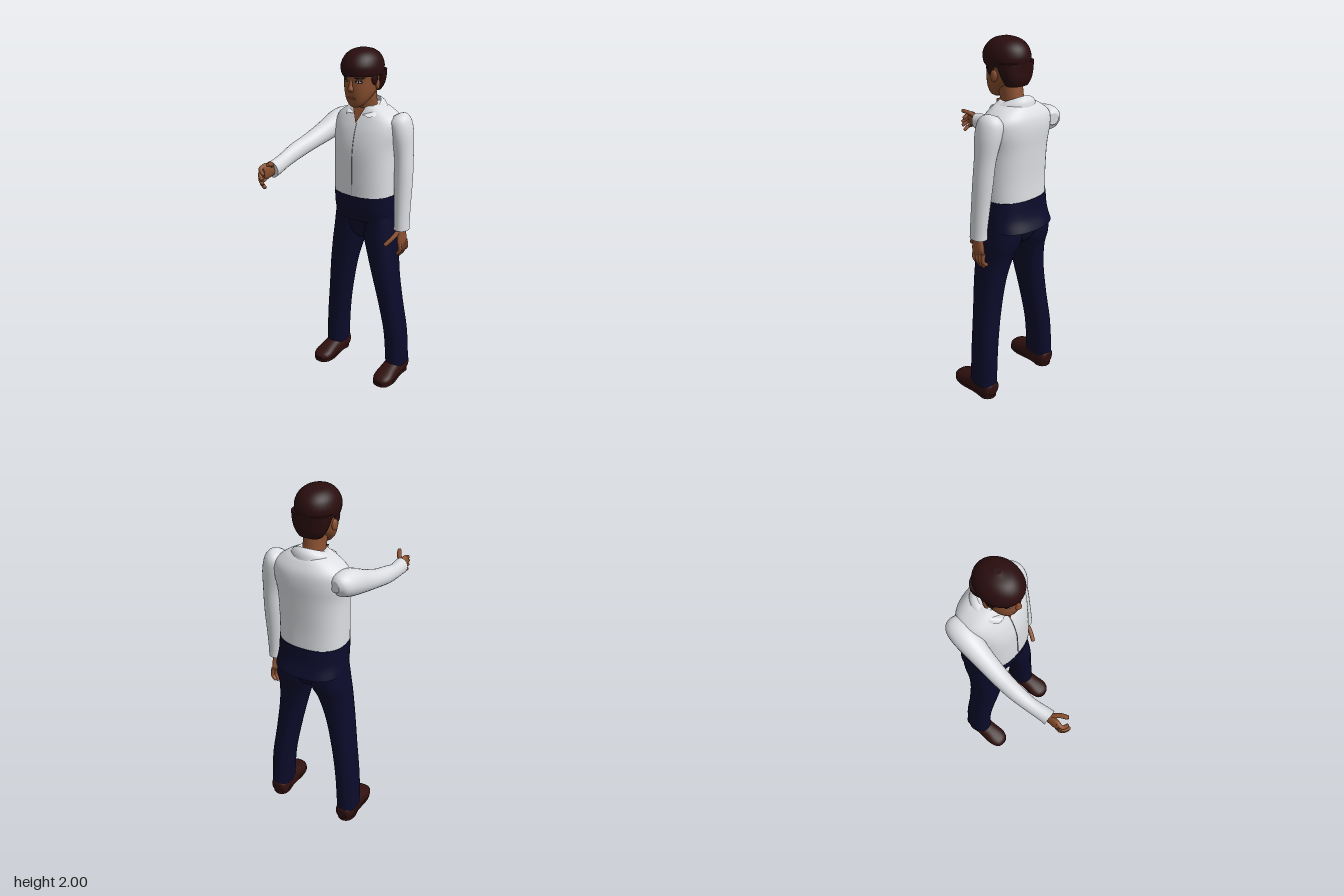
import * as THREE from 'three';

const paint = (name, color, side = THREE.FrontSide) => {
  const m = new THREE.MeshStandardMaterial({ color, side });
  m.name = name;
  return m;
};

export function createModel() {
  const model = new THREE.Group();
  model.name = 'standingMan';
  const shirt = paint('white shirt', 0xdcdee2, THREE.DoubleSide);
  const navy = paint('navy cloth', 0x0b0b2b);
  const skin = paint('brown skin', 0x8a5030, THREE.DoubleSide);
  const hair = paint('dark hair', 0x2a0d0e);
  const leather = paint('shoe leather', 0x30110f);
  const lip = paint('lips', 0x6e3526);
  const eyeWhite = paint('eye white', 0xd0c8c0);
  const black = paint('black', 0x0c0808);
  const seam = paint('seam grey', 0x80838a);

  const add = (name, geo, mat, parent = model) => {
    const mesh = new THREE.Mesh(geo, mat);
    mesh.name = name;
    parent.add(mesh);
    return mesh;
  };

  // Smooth loft through rows of [x, y, z, halfWidth, halfDepth].
  // flat keeps every ring level; n is the squareness of the rings.
  function sweep(rows, { flat = false, n = 2, ref = [1, 0, 0], sides = 28, steps = 5 } = {}) {
    const path = new THREE.CatmullRomCurve3(rows.map(r => new THREE.Vector3(r[0], r[1], r[2])), false, 'catmullrom');
    const size = new THREE.CatmullRomCurve3(rows.map(r => new THREE.Vector3(r[3], r[4], 0)), false, 'catmullrom');
    const rings = (rows.length - 1) * steps;
    const up = Math.sign(rows[rows.length - 1][1] - rows[0][1]);
    const pow = v => Math.sign(v) * Math.abs(v) ** (2 / n);
    const pos = [], idx = [];
    for (let i = 0; i <= rings; i++) {
      const p = path.getPoint(i / rings), s = size.getPoint(i / rings);
      const t = flat ? new THREE.Vector3(0, up, 0) : path.getTangent(i / rings);
      const u = new THREE.Vector3(...ref).addScaledVector(t, -t.dot(new THREE.Vector3(...ref))).normalize();
      const v = t.clone().cross(u);
      for (let j = 0; j < sides; j++) {
        const a = j / sides * Math.PI * 2;
        const q = p.clone().addScaledVector(u, pow(Math.cos(a)) * s.x).addScaledVector(v, pow(Math.sin(a)) * s.y);
        pos.push(q.x, q.y, q.z);
      }
    }
    const at = (i, j) => i * sides + j % sides;
    for (let i = 0; i < rings; i++) for (let j = 0; j < sides; j++)
      idx.push(at(i, j), at(i, j + 1), at(i + 1, j + 1), at(i, j), at(i + 1, j + 1), at(i + 1, j));
    // End caps with their own vertices, so their rims stay sharp
    for (const end of [0, rings]) {
      const base = pos.length / 3;
      pos.push(...pos.slice(end * sides * 3, (end + 1) * sides * 3));
      for (let j = 1; j < sides - 1; j++)
        idx.push(...(end ? [base, base + j, base + j + 1] : [base, base + j + 1, base + j]));
    }
    const g = new THREE.BufferGeometry();
    g.setAttribute('position', new THREE.Float32BufferAttribute(pos, 3));
    g.setIndex(idx);
    g.computeVertexNormals();
    return g;
  }

  // Shirt body and the navy hem below it
  add('shirtBody', sweep([
    [0, 1.185, -.23, .185, .15], [0, 1.3, -.228, .185, .148], [0, 1.45, -.232, .186, .148],
    [0, 1.55, -.245, .198, .14], [0, 1.615, -.255, .19, .123], [0, 1.66, -.255, .14, .1],
    [0, 1.69, -.25, .08, .08]], { flat: true, n: 2.4, sides: 48 }), shirt);
  add('navyHem', sweep([
    [0, 1.03, -.268, .195, .157], [0, 1.1, -.243, .19, .153], [0, 1.19, -.231, .187, .152]],
  { flat: true, n: 2.4, sides: 48 }), navy);
  add('shirtFrontSeam', new THREE.TubeGeometry(new THREE.CatmullRomCurve3([
    [0, 1.6, -.125], [0, 1.55, -.105], [0, 1.45, -.084], [0, 1.3, -.08], [0, 1.19, -.08]
  ].map(p => new THREE.Vector3(...p))), 24, .0025, 6), seam);

  // Open neckline and folded collar
  const vee = new THREE.BufferGeometry();
  vee.setAttribute('position', new THREE.Float32BufferAttribute(
    [-.04, 1.685, -.148, 0, 1.6, -.115, .04, 1.685, -.148], 3));
  vee.computeVertexNormals();
  add('openNeckline', vee, skin);
  const collar = new THREE.PlaneGeometry(1, 1, 48, 4);
  const cp = collar.attributes.position;
  for (let i = 0; i < cp.count; i++) {
    const u = cp.getX(i) * 2, v = cp.getY(i) + .5;
    const a = Math.PI + u * (Math.PI - .25 - .4 * v);
    const c = Math.cos(a), bulge = Math.sin(v * Math.PI) * .008;
    cp.setXYZ(i, Math.sin(a) * (.07 + .046 * v + bulge),
      1.685 - .04 * c - v * (.03 - .02 * c) + bulge,
      -.225 + c * (.086 + .034 * v + bulge));
  }
  collar.computeVertexNormals();
  add('collar', collar, shirt);

  // Sleeves: left hangs, right reaches forward
  add('leftSleeve', sweep([
    [.17, 1.645, -.265, .025, .03], [.184, 1.618, -.267, .06, .068], [.205, 1.55, -.267, .063, .074],
    [.224, 1.43, -.265, .052, .06], [.232, 1.3, -.257, .052, .055], [.238, 1.15, -.245, .047, .051],
    [.243, 1.04, -.238, .042, .05], [.243, .995, -.237, .043, .051]]), shirt);
  add('rightSleeve', sweep([
    [-.18, 1.575, -.345, .03, .03], [-.19, 1.575, -.31, .062, .06], [-.205, 1.557, -.235, .068, .07],
    [-.224, 1.515, -.12, .056, .058], [-.24, 1.478, 0, .048, .049], [-.248, 1.452, .1, .043, .048],
    [-.246, 1.425, .2, .037, .043], [-.237, 1.409, .28, .039, .044], [-.236, 1.404, .313, .041, .046]]), shirt);

  // Hands
  const finger = (parent, name, pts, r, ref) =>
    add(name, sweep([...pts.map((p, i) => [...p, r * (1 - i * .1), r * (1 - i * .1)]),
      [...pts[2].map((c, k) => c + (c - pts[1][k]) * .12), r * .3, r * .3]],
    { ref, sides: 10, steps: 4 }), skin, parent);
  const left = new THREE.Group(), right = new THREE.Group();
  left.name = 'leftHand';
  right.name = 'rightHand';
  model.add(left, right);
  add('palm', sweep([[.243, 1.03, -.237, .023, .028], [.244, .98, -.235, .02, .034],
    [.247, .93, -.238, .018, .044], [.247, .9, -.245, .013, .04]]), skin, left);
  add('palm', sweep([[-.237, 1.404, .28, .024, .03], [-.237, 1.406, .32, .021, .036],
    [-.24, 1.405, .355, .019, .046], [-.241, 1.402, .378, .013, .04]]), skin, right);
  for (let i = 0; i < 4; i++) {
    const z = -.21 - .023 * i, y = 1.438 - .024 * i;
    const drop = [.012, 0, .003, .02][i];
    finger(left, 'finger', [[.247, .915, z], [.252, .87, z - .003], [.231, .828 + drop, z - .008]], .012);
    finger(right, 'finger', [[-.241, y, .365], [-.241, y - .012, .402 - drop / 2],
      [-.212, y - .033, .418 - drop]], .012, [0, 1, 0]);
  }
  finger(left, 'thumb', [[.238, .985, -.215], [.222, .95, -.17], [.2, .918, -.134]], .014);
  finger(right, 'thumb', [[-.232, 1.43, .318], [-.208, 1.45, .35], [-.192, 1.458, .39]], .014, [0, 1, 0]);

  // Trousers and shoes, mirrored
  add('trouserSeat', sweep([[0, .905, -.235, .04, .065], [0, .95, -.245, .12, .105],
    [0, 1.05, -.255, .185, .128]], { flat: true, n: 2.3 }), navy);
  for (const s of [1, -1]) {
    const side = s > 0 ? 'left' : 'right';
    add(side + 'TrouserLeg', sweep([
      [.1, 1.06, -.255, .09, .125], [.103, .95, -.25, .102, .122], [.122, .85, -.232, .09, .105],
      [.15, .7, -.225, .075, .093], [.184, .5, -.238, .067, .082], [.214, .3, -.255, .064, .08],
      [.227, .1, -.262, .061, .083], [.227, .085, -.262, .061, .083]
    ].map(r => [r[0] * s, ...r.slice(1)]), { flat: true, n: 2.3, sides: 32 }), navy);

    const shoe = sweep([
      [.226, .05, -.345, .03, .03], [.226, .052, -.325, .05, .055], [.226, .055, -.25, .055, .06],
      [.227, .045, -.17, .057, .05], [.229, .034, -.11, .061, .04], [.229, .028, -.072, .05, .03],
      [.228, .024, -.05, .025, .014]].map(r => [r[0] * s, ...r.slice(1)]), { n: 2.4 });
    const sp = shoe.attributes.position;
    for (let i = 0; i < sp.count; i++) sp.setY(i, Math.max(sp.getY(i), .012));
    shoe.computeVertexNormals();
    add(side + 'Shoe', shoe, leather);

    // Sole outline drawn in x and -z, then laid flat
    const outline = new THREE.Shape(new THREE.SplineCurve([
      [.052, .3], [.05, .23], [.062, .13], [.045, .065], [0, .046], [-.045, .065],
      [-.06, .13], [-.05, .23], [-.052, .3], [0, .347], [.052, .3]
    ].map(p => new THREE.Vector2(p[0], p[1]))).getPoints(50));
    const sole = new THREE.ExtrudeGeometry(outline, { depth: .018, bevelEnabled: false });
    sole.rotateX(-Math.PI / 2).translate(.228 * s, .004, 0);
    add(side + 'Sole', sole, leather);
    const heel = new THREE.CylinderGeometry(.05, .05, .02, 24);
    add(side + 'Heel', heel, leather).position.set(.227 * s, .01, -.293);
  }

  // Head and neck
  add('neck', sweep([[0, 1.6, -.245, .06, .065], [0, 1.68, -.225, .057, .064],
    [0, 1.78, -.2, .06, .07]], { flat: true }), skin);
  add('head', sweep([
    [0, 1.692, -.118, .02, .022], [0, 1.705, -.124, .042, .04], [0, 1.738, -.14, .067, .065],
    [0, 1.785, -.165, .085, .096], [0, 1.84, -.175, .092, .105], [0, 1.9, -.177, .096, .11],
    [0, 1.96, -.178, .07, .085]], { flat: true, n: 2.1, sides: 36 }), skin);

  // Hair: crown with fringe, and the lower back
  add('hairCrown', sweep([
    [0, 1.862, -.178, .104, .122], [0, 1.88, -.178, .109, .13], [0, 1.915, -.178, .109, .132],
    [0, 1.955, -.18, .094, .113], [0, 1.985, -.18, .062, .075], [0, 2, -.18, .015, .018]],
  { flat: true, sides: 36 }), hair);
  add('hairBack', sweep([
    [0, 1.768, -.253, .062, .042], [0, 1.8, -.253, .083, .052], [0, 1.84, -.246, .098, .06],
    [0, 1.885, -.235, .105, .072]], { flat: true, n: 2.4, sides: 36 }), hair);

  // Facial features
  const ball = (name, mat, x, y, z, sx, sy, sz, turn = 0) => {
    const m = add(name, new THREE.SphereGeometry(1, 16, 12), mat);
    m.position.set(x, y, z);
    m.scale.set(sx, sy, sz);
    m.rotation.y = turn;
  };
  add('nose', sweep([[0, 1.845, -.076, .008, .008], [0, 1.815, -.069, .011, .012],
    [0, 1.793, -.066, .018, .016], [0, 1.782, -.07, .012, .01]], { flat: true, sides: 16 }), skin);
  ball('mouth', lip, 0, 1.745, -.076, .027, .007, .005);
  for (const s of [1, -1]) {
    ball('eyeLine', black, .043 * s, 1.836, -.083, .022, .009, .004, .5 * s);
    ball('eyeWhite', eyeWhite, .043 * s, 1.834, -.081, .015, .005, .004, .5 * s);
    ball('pupil', black, .043 * s, 1.834, -.0795, .005, .005, .004, .5 * s);
    ball('eyebrow', black, .046 * s, 1.854, -.083, .026, .005, .004, .5 * s);
    ball('ear', skin, .094 * s, 1.815, -.185, .011, .03, .02, .3 * s);
    ball('sideburn', hair, .091 * s, 1.85, -.16, .012, .036, .026);
  }
  return model;
}
